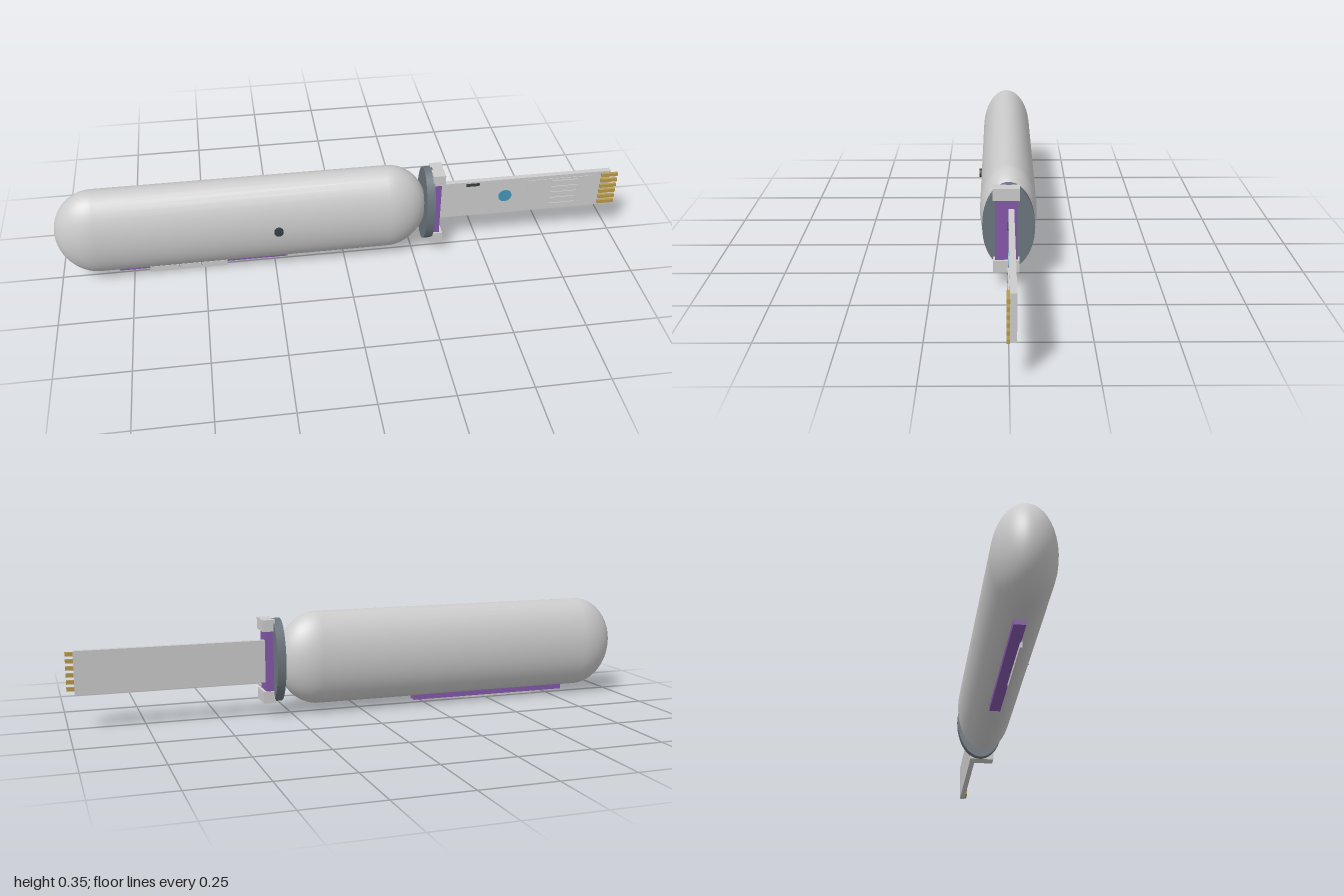
import * as THREE from 'three';

export function createModel() {
  const model = new THREE.Group();
  const mat = (color) => new THREE.MeshStandardMaterial({ color });
  const grey = mat(0xcccccc), purple = mat(0x8558aa), slate = mat(0x6c767e);
  const dark = mat(0x3a3e42), gold = mat(0xb89a4c), blue = mat(0x4496b8);

  const add = (name, geometry, material) => {
    const mesh = new THREE.Mesh(geometry, material);
    mesh.name = name;
    model.add(mesh);
    return mesh;
  };
  // Box given by its extents on each axis
  const box = (name, material, [x0, x1], [y0, y1], [z0, z1]) =>
    add(name, new THREE.BoxGeometry(x1 - x0, y1 - y0, z1 - z0), material)
      .position.set((x0 + x1) / 2, (y0 + y1) / 2, (z0 + z1) / 2);
  // Round stud facing +z
  const stud = (name, material, r, x, y, z0, z1) =>
    add(name, new THREE.CylinderGeometry(r, r, z1 - z0, 24).rotateX(Math.PI / 2), material)
      .position.set(x, y, (z0 + z1) / 2);

  const midY = 0.191, midZ = -0.0035;

  // Flattened capsule body lying along x
  add('body', new THREE.CapsuleGeometry(1, 7.12, 16, 40).rotateZ(-Math.PI / 2)
    .scale(0.142, 0.163, 0.0965), grey).position.set(-0.3525, midY, midZ);
  stud('sideButton', dark, 0.016, -0.237, 0.193, 0.085, 0.102);

  // Rail and keys on the underside
  box('bottomRail', purple, [-0.8, -0.205], [0.015, 0.036], [-0.026, 0.01]);
  const keyEdges = [-0.695, -0.59, -0.512, -0.42];
  for (let i = 0; i < 3; i++) {
    box('bottomKey', grey, [keyEdges[i] + 0.001, keyEdges[i + 1] - 0.001], [0, 0.023], [0.007, 0.014]);
  }

  // Oval collar, coupling plate and its two clips
  add('collar', new THREE.CylinderGeometry(1, 1, 0.03, 48).rotateZ(-Math.PI / 2)
    .scale(1, 0.145, 0.0865), slate).position.set(0.3, midY, midZ);
  box('couplingPlate', purple, [0.312, 0.342], [0.08, 0.3], [-0.033, 0.041]);
  for (const [y0, y1] of [[0.046, 0.087], [0.295, 0.335]]) {
    box('clip', grey, [0.31, 0.353], [y0, y1], [-0.039, 0.048]);
  }

  // Flat blade with its front details
  box('blade', grey, [0.33, 0.975], [0.117, 0.263], [-0.021, -0.002]);
  box('slotMark', dark, [0.442, 0.49], [0.247, 0.257], [-0.004, 0.002]);
  stud('indicator', blue, 0.024, 0.588, 0.193, -0.004, 0.001);
  box('panel', grey, [0.67, 0.905], [0.123, 0.25], [-0.004, 0]);
  for (let i = 0; i < 5; i++) {
    const y = 0.142 + i * 0.0245;
    box('panelRib', grey, [0.757, 0.853], [y - 0.002, y + 0.002], [-0.001, 0.003]);
  }

  // Gold contacts at the tip
  for (let i = 0; i < 6; i++) {
    const y = 0.134 + i * 0.0232;
    box('contact', gold, [0.94, 1], [y - 0.0065, y + 0.0065], [-0.002, 0.008]);
  }
  return model;
}
